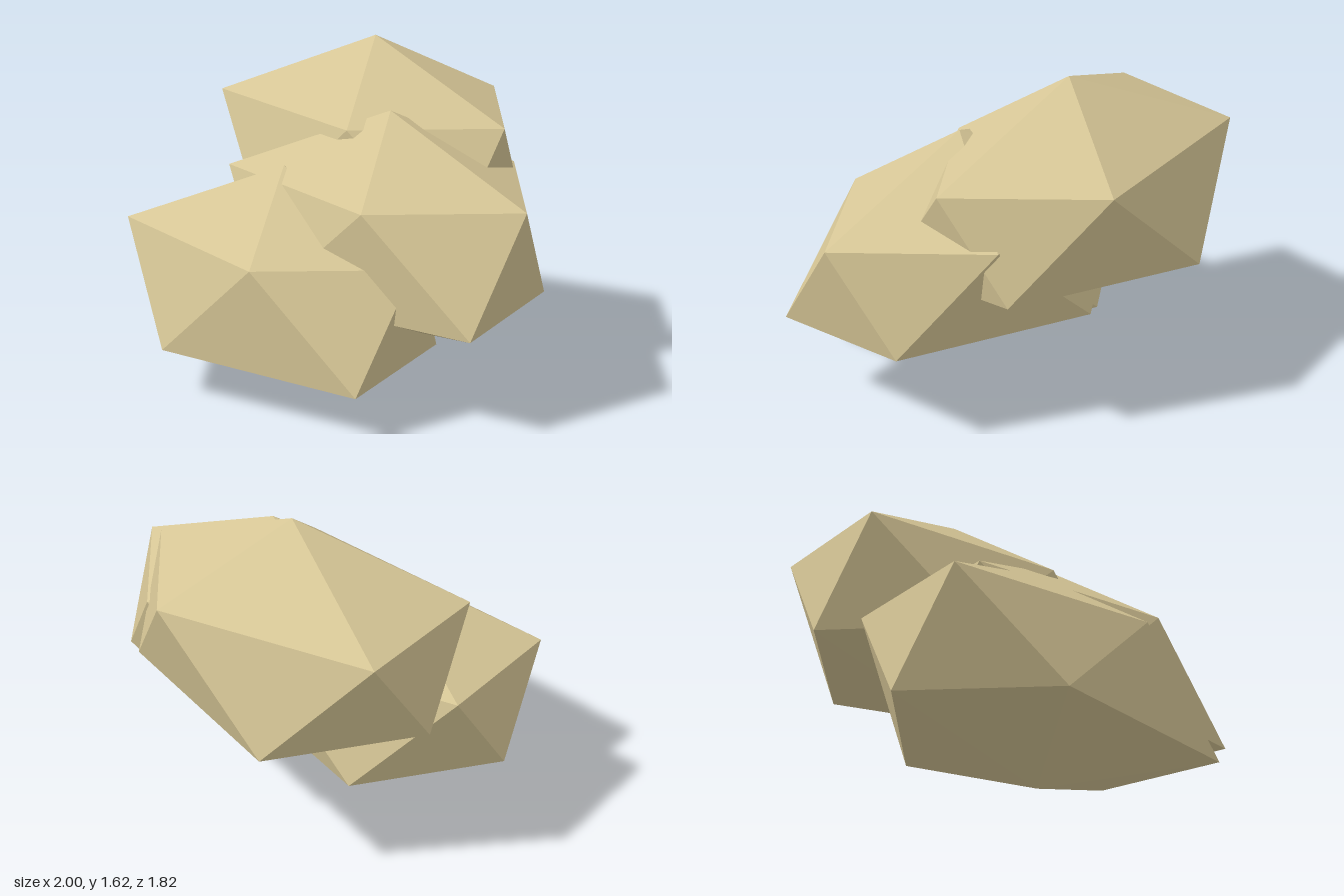
import * as THREE from 'three';

// Irregular twenty-sided lump: two poles and two staggered rings of five
function lumpGeometry() {
  const top = [-0.2, 1.08, 0.35];
  const bottom = [-0.2, 0, 0.35];
  const upper = [[0.61, 0.73, 0.35], [0.05, 0.72, 0.84], [-0.94, 0.76, 0.7], [-0.94, 0.76, -0.01], [0.09, 0.77, -0.24]];
  const lower = [[0.59, 0.21, 0.72], [-0.48, 0.23, 0.91], [-1, 0.26, 0.34], [-0.5, 0.22, -0.25], [0.48, 0.25, 0.02]];
  const corners = [];
  for (let i = 0; i < 5; i++) {
    const j = (i + 1) % 5;
    corners.push(
      top, upper[j], upper[i],
      upper[i], upper[j], lower[i],
      lower[i], upper[j], lower[j],
      lower[i], lower[j], bottom
    );
  }
  const geometry = new THREE.BufferGeometry();
  geometry.setAttribute('position', new THREE.Float32BufferAttribute(corners.flat(), 3));
  geometry.computeVertexNormals();
  return geometry;
}

export function createModel() {
  const model = new THREE.Group();
  model.name = 'rockCluster';
  const sandstone = new THREE.MeshStandardMaterial({ color: 0xd6c696, flatShading: true });
  sandstone.name = 'sandstone';
  const geometry = lumpGeometry();

  // The same lump three times, stepping upwards and backwards
  const lumps = [
    ['frontRock', 0, 0, 0],
    ['middleRock', 0.385, 0.27, -0.33],
    ['backRock', 0, 0.54, -0.66],
  ];
  for (const [name, x, y, z] of lumps) {
    const rock = new THREE.Mesh(geometry, sandstone);
    rock.name = name;
    rock.position.set(x, y, z);
    model.add(rock);
  }
  return model;
}
